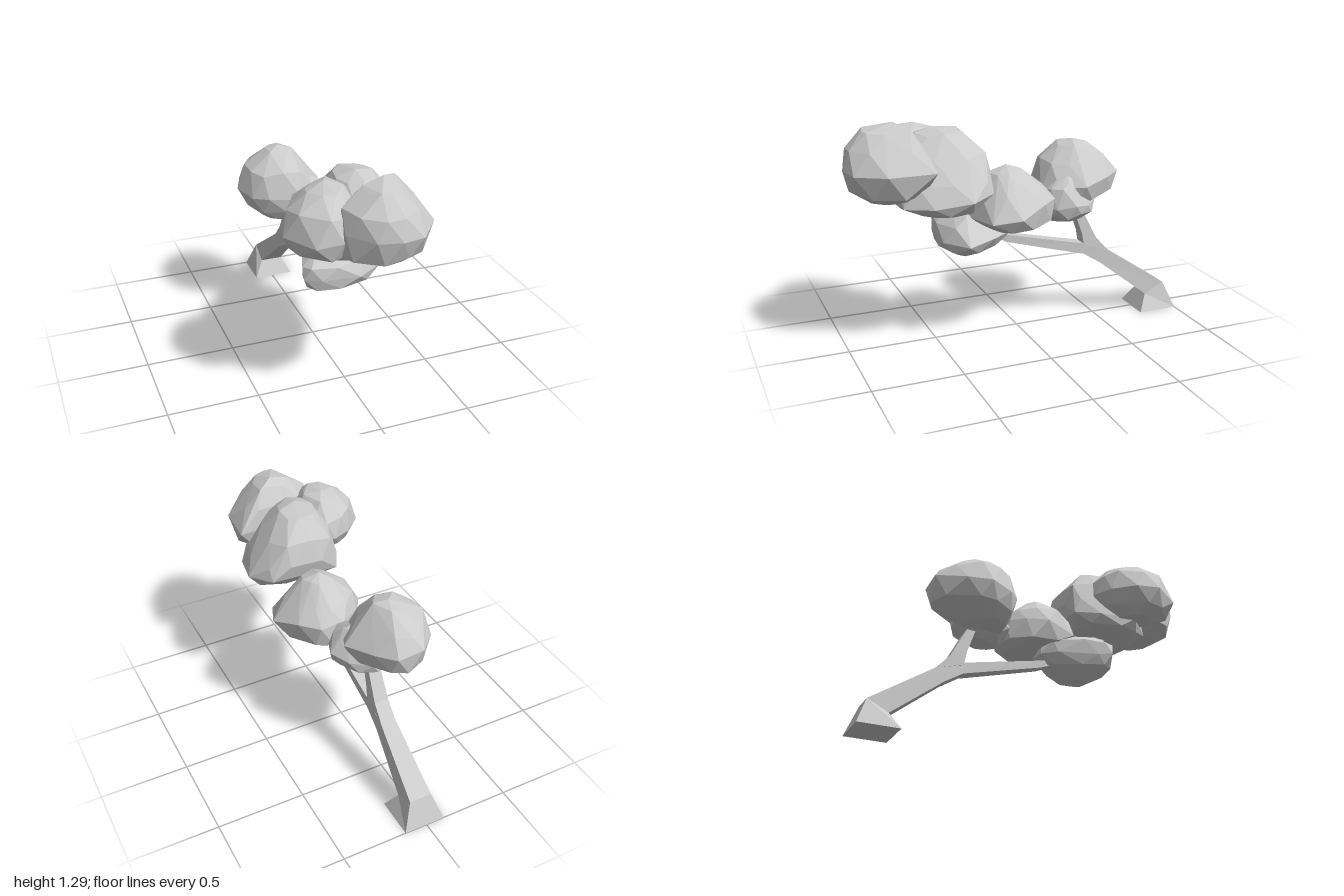
import * as THREE from 'three';
import { ConvexGeometry } from 'three/addons/geometries/ConvexGeometry.js';

const material = new THREE.MeshStandardMaterial({ color: 0xcccccc, flatShading: true });

// Small seeded generator for the uneven facets of the foliage
function seeded(seed) {
  return () => {
    seed = (seed * 16807) % 2147483647;
    return seed / 2147483647 - 0.5;
  };
}

// Faceted leaf clump: hull around a plan outline [x, z] fitted into each
// ring [y, xMin, xMax, zMin, zMax, tilt along z], plus a peak [x, y, z].
// Every second ring uses the outline's edge midpoints to stagger the facets.
function clump(name, peak, outline, rings) {
  const rand = seeded(name.length * 7919);
  const plan = outline.map(([x, z]) => new THREE.Vector2(x, z));
  const box = new THREE.Box2().setFromPoints(plan);
  const size = box.getSize(new THREE.Vector2());
  const points = [new THREE.Vector3(...peak)];
  rings.forEach(([y, x0, x1, z0, z1, tilt = 0], r) => {
    const odd = r % 2;
    plan.forEach((p, i) => {
      const q = p.clone();
      if (odd) q.lerp(plan[(i + 1) % plan.length], 0.5 + rand() * 0.3);
      q.sub(box.min).divide(size).subScalar(0.5).multiplyScalar(odd ? 1.05 : 1);
      points.push(new THREE.Vector3(
        (x0 + x1) / 2 + q.x * (x1 - x0),
        y + q.y * (z1 - z0) * tilt + (r ? rand() * 0.025 : 0),
        (z0 + z1) / 2 + q.y * (z1 - z0)));
    });
  });
  const mesh = new THREE.Mesh(new ConvexGeometry(points), material);
  mesh.name = name;
  return mesh;
}

// Four-sided limb through sections [xMin, xMax, upperY, upperZ, lowerY, lowerZ]
function limb(name, sections) {
  const rings = sections.map(([x0, x1, uy, uz, ly, lz]) =>
    [[x0, uy, uz], [x1, uy, uz], [x1, ly, lz], [x0, ly, lz]]);
  const pos = [];
  const quad = (a, b, c, d) => pos.push(...a, ...b, ...c, ...a, ...c, ...d);
  for (let r = 0; r < rings.length - 1; r++) {
    const a = rings[r], b = rings[r + 1];
    for (let i = 0; i < 4; i++) {
      const j = (i + 1) % 4;
      quad(a[i], b[i], b[j], a[j]);
    }
  }
  quad(...rings[0]);
  quad(...[...rings[rings.length - 1]].reverse());
  const geo = new THREE.BufferGeometry();
  geo.setAttribute('position', new THREE.Float32BufferAttribute(pos, 3));
  geo.computeVertexNormals();
  const mesh = new THREE.Mesh(geo, material);
  mesh.name = name;
  return mesh;
}

export function createModel() {
  const tree = new THREE.Group();
  tree.name = 'leaningTree';

  // Flared foot, leaning trunk and the long forward bough
  tree.add(limb('trunk', [
    [-0.11, 0.13, 0, -1, 0, -0.765],
    [-0.055, 0.075, 0.155, -0.94, 0.095, -0.82],
    [-0.037, 0.052, 0.40, -0.575, 0.33, -0.52],
    [-0.03, 0.05, 0.465, -0.41, 0.40, -0.41],
    [-0.02, 0.04, 0.585, 0.11, 0.53, 0.06],
    [-0.01, 0.03, 0.66, 0.22, 0.61, 0.25],
    [-0.01, 0.03, 0.90, 0.55, 0.86, 0.58],
  ]));

  // Upright branch at the fork
  tree.add(limb('upperBranch', [
    [-0.036, 0.051, 0.40, -0.575, 0.45, -0.41],
    [-0.035, 0.048, 0.49, -0.49, 0.53, -0.395],
    [-0.025, 0.04, 0.74, -0.36, 0.74, -0.32],
  ]));

  // Foliage, from the back of the tree to the front
  tree.add(clump('backFoliage', [-0.08, 1.075, -0.38], [
    [-0.15, -0.64], [0, -0.64], [0.08, -0.53], [0.17, -0.36], [0.1, -0.22],
    [0, -0.15], [-0.2, -0.17], [-0.28, -0.24], [-0.33, -0.37], [-0.28, -0.5],
  ], [
    [0.68, -0.20, 0.06, -0.42, -0.20],
    [0.75, -0.29, 0.13, -0.62, -0.17, -0.1],
    [0.85, -0.33, 0.17, -0.64, -0.15, -0.15],
    [0.96, -0.28, 0.08, -0.59, -0.19],
    [1.05, -0.16, 0, -0.46, -0.28],
  ]));
  tree.add(clump('backSideFoliage', [0.08, 0.90, -0.28], [
    [-0.02, -0.13], [0.1, -0.13], [0.17, -0.18], [0.21, -0.28],
    [0.15, -0.38], [0.05, -0.47], [-0.06, -0.46], [-0.1, -0.3],
  ], [
    [0.645, 0, 0.14, -0.40, -0.18],
    [0.68, -0.06, 0.19, -0.47, -0.14],
    [0.74, -0.10, 0.21, -0.47, -0.13],
    [0.83, -0.06, 0.17, -0.37, -0.16],
    [0.88, 0.02, 0.13, -0.32, -0.23],
  ]));
  tree.add(clump('middleFoliage', [0.09, 1.005, 0.1], [
    [0.05, -0.14], [0.19, -0.15], [0.28, -0.05], [0.36, 0.11], [0.3, 0.26],
    [0.05, 0.33], [-0.1, 0.24], [-0.14, 0.06], [-0.07, -0.05],
  ], [
    [0.655, 0, 0.24, -0.10, 0.22],
    [0.69, -0.12, 0.33, -0.15, 0.29],
    [0.77, -0.14, 0.37, -0.15, 0.33, -0.2],
    [0.87, -0.10, 0.28, -0.10, 0.28],
    [0.97, 0.01, 0.18, 0.02, 0.20],
  ]));
  tree.add(clump('lowFoliage', [-0.02, 0.76, 0.31], [
    [-0.1, 0.14], [-0.19, 0.35], [-0.21, 0.43], [-0.12, 0.47], [0.1, 0.47],
    [0.26, 0.37], [0.2, 0.21], [0.06, 0.05], [-0.03, 0.06],
  ], [
    [0.49, -0.06, 0.06, 0.25, 0.36],
    [0.55, -0.18, 0.22, 0.10, 0.455],
    [0.61, -0.21, 0.26, 0.05, 0.47],
    [0.68, -0.205, 0.18, 0.08, 0.46],
    [0.73, -0.12, 0.11, 0.18, 0.39],
  ]));
  tree.add(clump('largeFoliage', [0.04, 1.24, 0.5], [
    [-0.1, 0.24], [0.1, 0.24], [0.3, 0.24], [0.39, 0.38], [0.35, 0.58],
    [0.26, 0.72], [-0.05, 0.74], [-0.2, 0.6], [-0.17, 0.38],
  ], [
    [0.80, -0.08, 0.29, 0.42, 0.62],
    [0.83, -0.18, 0.35, 0.32, 0.70],
    [0.88, -0.20, 0.39, 0.25, 0.75, -0.08],
    [0.98, -0.17, 0.34, 0.24, 0.74],
    [1.10, -0.13, 0.26, 0.26, 0.69],
    [1.21, -0.06, 0.15, 0.36, 0.60],
  ]));
  tree.add(clump('rightFoliage', [-0.15, 1.23, 0.55], [
    [-0.15, 0.36], [-0.08, 0.37], [0.0, 0.48], [0.02, 0.62], [-0.05, 0.78],
    [-0.15, 0.84], [-0.29, 0.82], [-0.4, 0.65], [-0.37, 0.52], [-0.26, 0.41],
  ], [
    [0.87, -0.28, -0.10, 0.50, 0.70],
    [0.92, -0.36, 0, 0.41, 0.81],
    [1.0, -0.40, 0.02, 0.36, 0.84],
    [1.12, -0.36, 0, 0.38, 0.81],
    [1.20, -0.26, -0.06, 0.46, 0.70],
  ]));
  tree.add(clump('frontFoliage', [0.09, 1.29, 0.73], [
    [0.0, 0.62], [0.18, 0.6], [0.34, 0.57], [0.32, 0.82], [0.2, 0.97],
    [0.08, 1.0], [-0.04, 0.97], [-0.15, 0.85], [-0.14, 0.72],
  ], [
    [0.88, -0.03, 0.21, 0.70, 0.88],
    [0.93, -0.15, 0.31, 0.61, 0.96],
    [1.05, -0.155, 0.35, 0.57, 1.0],
    [1.16, -0.14, 0.27, 0.60, 0.97],
    [1.25, -0.03, 0.18, 0.66, 0.89],
  ]));
  return tree;
}
